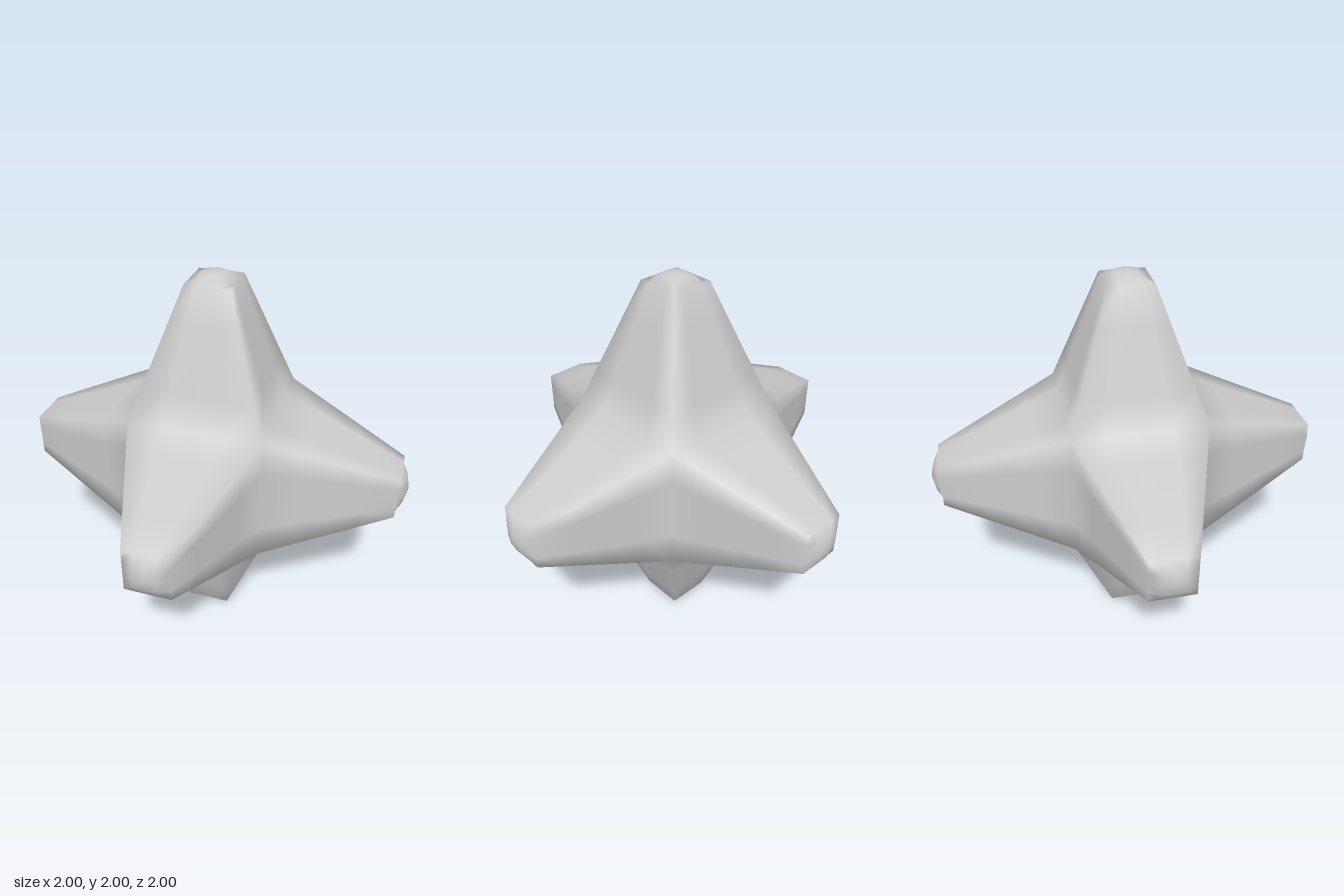
import * as THREE from 'three';
import { mergeGeometries, mergeVertices } from 'three/addons/utils/BufferGeometryUtils.js';

const CORE = 0.33;      // half width of the central cube
const TIP = 0.11;       // half width of an arm at its tip
const SHOULDER = 0.955; // where the domed cap begins
const DOME = 0.045;     // rise of the cap
const SEG = 4;

// One arm pointing up: a tapered square prism with a domed cap and an open base
function armGeometry() {
  const g = new THREE.BoxGeometry(2, 1, 2, SEG, SEG, SEG);
  const base = g.groups[3];
  g.setIndex([...g.index.array].filter((_, i) => i < base.start || i >= base.start + base.count));
  g.clearGroups();
  g.deleteAttribute('normal');
  g.deleteAttribute('uv');

  const p = g.attributes.position;
  for (let i = 0; i < p.count; i++) {
    const u = p.getX(i), v = p.getZ(i), t = p.getY(i) + 0.5;
    const half = THREE.MathUtils.lerp(CORE, TIP, t);
    const cap = t > 0.999 ? DOME * (1 - u * u) * (1 - v * v) : 0;
    p.setXYZ(i, u * half, THREE.MathUtils.lerp(CORE, SHOULDER, t) + cap, v * half);
  }
  return g;
}

export function createModel() {
  const group = new THREE.Group();
  group.name = 'sixPointedJack';

  // Six arms along the axes, meeting at the edges of the central cube
  const q = Math.PI / 2;
  const turns = [[0, 0], [2 * q, 0], [q, 0], [-q, 0], [0, q], [0, -q]];
  const arms = turns.map(([rx, rz]) => armGeometry().rotateX(rx).rotateZ(rz));

  // Weld the arms so the shading runs smoothly over ridges and valleys
  const body = mergeVertices(mergeGeometries(arms), 1e-4);
  body.computeVertexNormals();
  body.translate(0, 1, 0);

  const mesh = new THREE.Mesh(body, new THREE.MeshStandardMaterial({ color: 0xcccccc }));
  mesh.name = 'sixArmedBody';
  group.add(mesh);
  return group;
}
